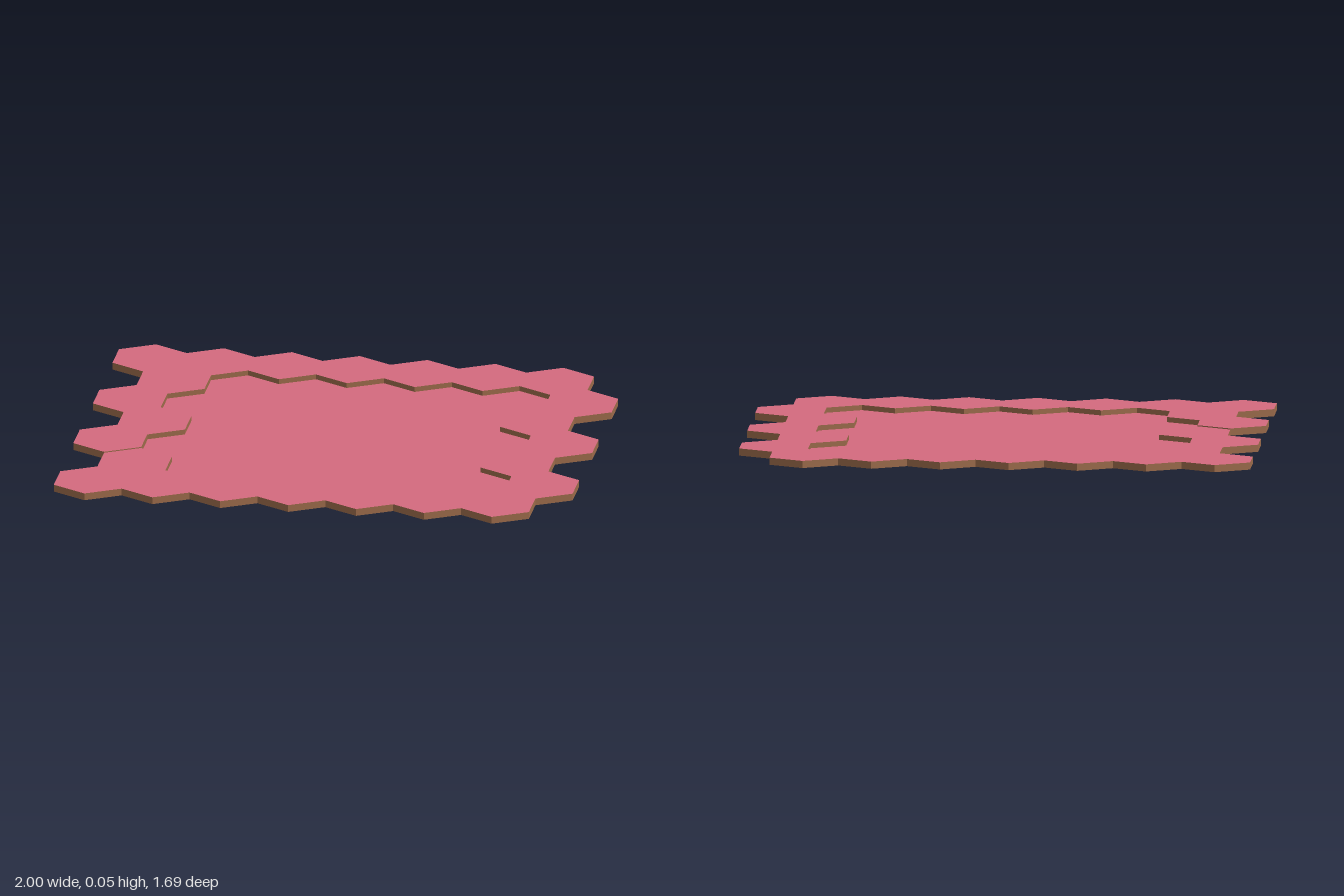
import * as THREE from 'three';

const COUNT = 7;                      // tiles per row and number of rows
const WIDTH = 2 / (COUNT + 0.5);      // flat-to-flat width of a tile
const RADIUS = WIDTH / Math.sqrt(3);
const THICK = 0.028;
const RIM_LIFT = 0.02;                // the border ring sits above the basin
const LOOSE_LIFT = 0.004;             // one border tile sits slightly proud

export function createModel() {
  const group = new THREE.Group();
  group.name = 'hexTileFloor';

  const paint = (color) => new THREE.MeshStandardMaterial({ color, flatShading: true });
  // Order follows the cylinder groups: side, top, bottom
  const materials = [paint(0x9c6b4a), paint(0xd46a7e), paint(0xcccccc)];

  // Hexagonal prism with a corner pointing to +z, standing on its base
  const tile = new THREE.CylinderGeometry(RADIUS, RADIUS, THICK, 6);
  tile.translate(0, THICK / 2, 0);

  const border = new THREE.Group();
  border.name = 'raisedBorder';
  const basin = new THREE.Group();
  basin.name = 'sunkenFloor';
  group.add(border, basin);

  // Staggered rows of tiles; the outermost ring is raised
  const last = COUNT - 1;
  for (let row = 0; row < COUNT; row++) {
    for (let col = 0; col < COUNT; col++) {
      const isRim = row === 0 || row === last || col === 0 || col === last;
      const isLoose = row === 4 && col === 0;
      const mesh = new THREE.Mesh(tile, materials);
      mesh.name = isLoose ? 'looseBorderTile' : isRim ? 'borderTile' : 'floorTile';
      mesh.position.set(
        -1 + WIDTH * (col + 0.5 + (row % 2) * 0.5),
        (isRim ? RIM_LIFT : 0) + (isLoose ? LOOSE_LIFT : 0),
        (row - last / 2) * RADIUS * 1.5
      );
      (isRim ? border : basin).add(mesh);
    }
  }
  return group;
}
